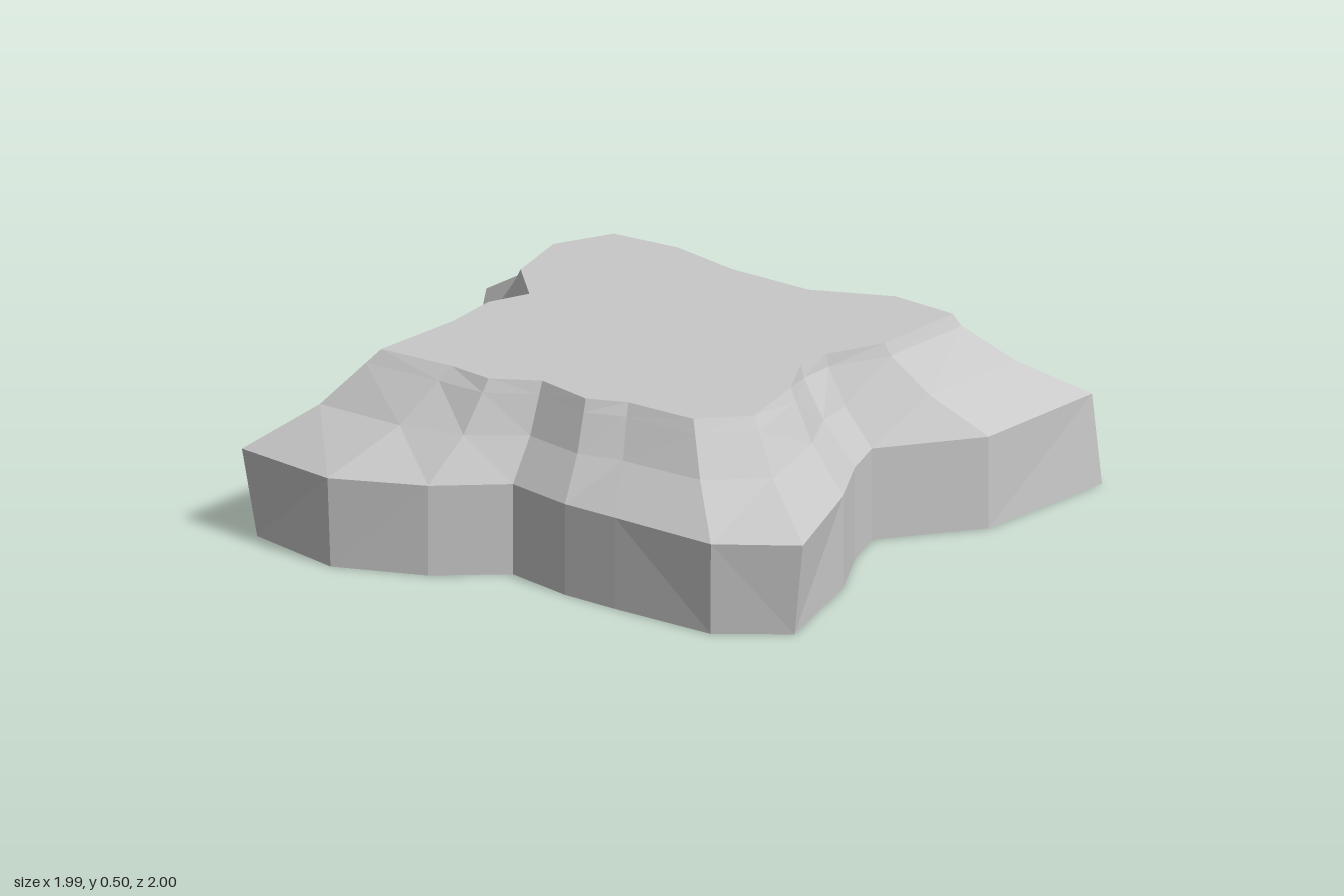
import * as THREE from 'three';

// Each spoke of the plateau: rim x, rim z, top x, top z, then the foot's shift from the rim in x and z
const SPOKES = [
  [-0.96, -0.50, -0.59, -0.32, 0, -0.01], [-0.60, -0.55, -0.41, -0.39, -0.01, -0.02],
  [-0.27, -0.475, -0.20, -0.405, 0, -0.01], [0.05, -0.61, 0.04, -0.47, 0, -0.02],
  [0.33, -0.935, 0.22, -0.62, 0, -0.01], [0.60, -0.975, 0.41, -0.66, 0.01, -0.025],
  [0.675, -0.57, 0.465, -0.39, 0, 0], [0.55, -0.28, 0.43, -0.22, 0, 0],
  [0.63, -0.16, 0.45, -0.12, 0, 0], [0.77, -0.01, 0.56, 0.00, 0, 0],
  [0.99, 0.30, 0.66, 0.20, -0.035, 0], [0.83, 0.48, 0.58, 0.34, -0.015, -0.01],
  [0.52, 0.555, 0.38, 0.40, 0, 0], [0.36, 0.595, 0.29, 0.47, 0, 0],
  [0.16, 0.61, 0.12, 0.48, 0, 0], [0.03, 0.79, 0.02, 0.58, 0, 0],
  [-0.18, 0.96, -0.11, 0.60, 0, -0.01], [-0.49, 1.00, -0.32, 0.67, 0.02, -0.035],
  [-0.56, 0.60, -0.36, 0.40, 0.05, 0], [-0.49, 0.27, -0.41, 0.24, 0.01, 0.01],
  [-0.56, 0.15, -0.39, 0.12, -0.01, 0.02], [-0.75, 0.01, -0.54, 0.03, -0.04, 0.03],
  [-1.00, -0.22, -0.63, -0.15, 0.015, 0],
];

function flatGeometry(points) {
  const g = new THREE.BufferGeometry().setFromPoints(points);
  g.computeVertexNormals();
  return g;
}

// Band of quads between two closed loops, each split along its shorter diagonal
function band(lower, upper) {
  const pts = [];
  lower.forEach((a, i) => {
    const j = (i + 1) % lower.length;
    const [b, c, d] = [upper[i], upper[j], lower[j]];
    if (a.distanceTo(c) < b.distanceTo(d)) pts.push(a, b, c, a, c, d);
    else pts.push(a, b, d, b, c, d);
  });
  return flatGeometry(pts);
}

// Flat lid on a loop, facing up or down
function cap(loop, up) {
  const flat = loop.map((p) => new THREE.Vector2(p.x, -p.z));
  const pts = [];
  for (const [a, b, c] of THREE.ShapeUtils.triangulateShape(flat, [])) {
    const ccw = THREE.ShapeUtils.area([flat[a], flat[b], flat[c]]) > 0;
    pts.push(loop[a], ...(ccw === up ? [loop[b], loop[c]] : [loop[c], loop[b]]));
  }
  return flatGeometry(pts);
}

export function createModel() {
  const stone = new THREE.MeshStandardMaterial({ color: 0xc8c8c8, flatShading: true });
  stone.name = 'grey stone';

  // Cross-section loops from the ground to the plateau, rising slightly towards +x
  const foot = SPOKES.map(([x, z, , , dx, dz]) => new THREE.Vector3(x + dx, 0, z + dz));
  const rim = SPOKES.map(([x, z]) => new THREE.Vector3(x, 0.252 + 0.008 * x, z));
  const top = SPOKES.map(([, , x, z]) => new THREE.Vector3(x, 0.5, z));
  const shoulder = rim.map((p, i) =>
    p.clone().lerp(top[i], 0.55 + 0.06 * p.x + 0.04 * p.z).setY(0.358 + 0.012 * p.x + 0.006 * p.z));
  // The back edge of the plateau ends in a steeper lip
  const lip = shoulder.map((p, i) =>
    p.clone().lerp(top[i], top[i].z < 0 ? 0.86 : 0.75).setY(p.y + (0.5 - p.y) * 0.75));

  const model = new THREE.Group();
  model.name = 'rockPlateau';
  const add = (name, geometry) => {
    const mesh = new THREE.Mesh(geometry, stone);
    mesh.name = name;
    model.add(mesh);
  };
  add('baseWall', band(foot, rim));
  add('lowerSlope', band(rim, shoulder));
  add('upperSlope', band(shoulder, lip));
  add('plateauLip', band(lip, top));
  add('plateauTop', cap(top, true));
  add('underside', cap(foot, false));
  return model;
}
